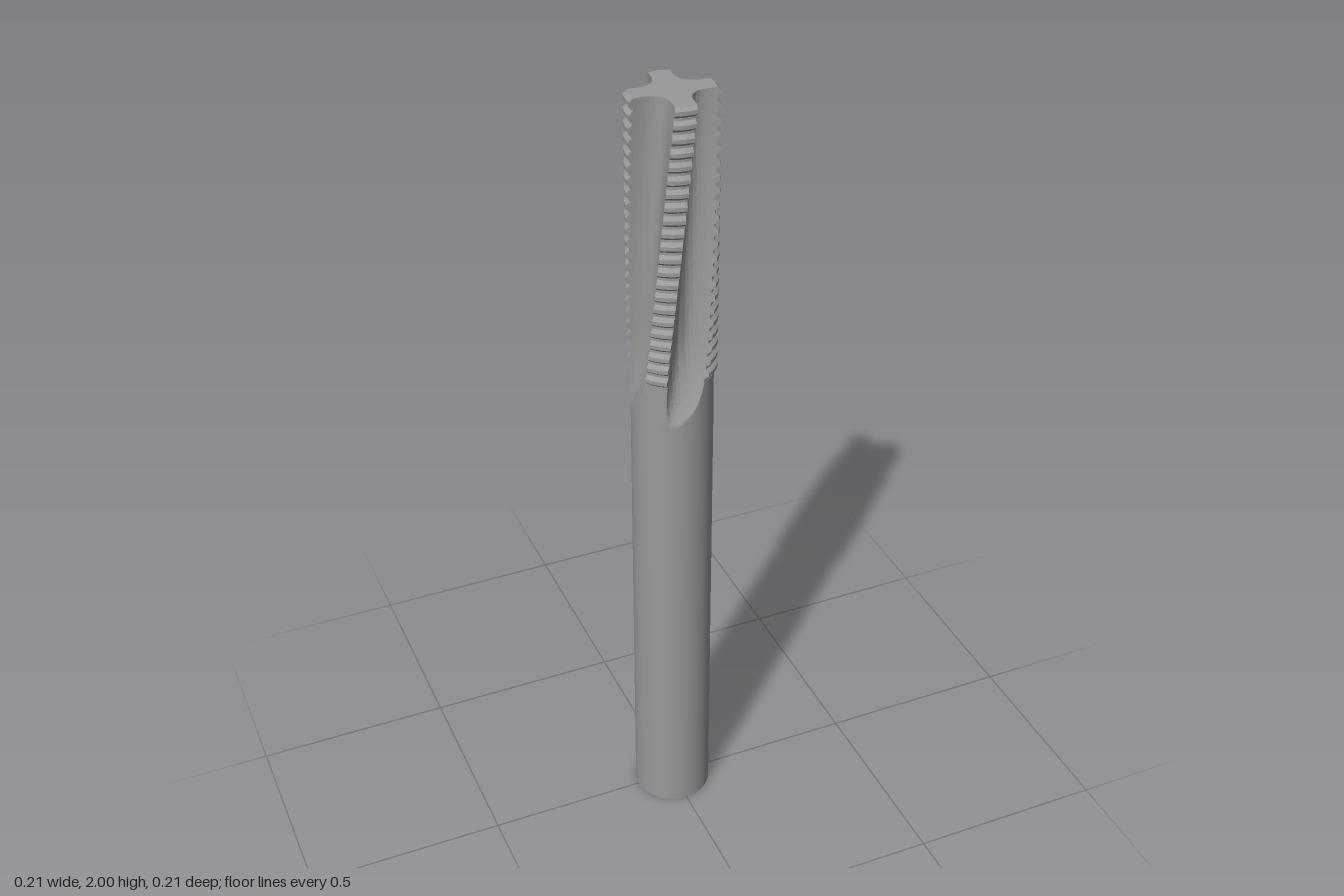
import * as THREE from 'three';
import { toCreasedNormals } from 'three/addons/utils/BufferGeometryUtils.js';

const SHANK = 0.098, ROOT = 0.097, CREST = 0.106;
const TOP = 2, THREAD_START = 1.3, NECK_START = 1.16;
const TEETH = 22, TWIST = 1; // radians of helix per unit of height
const DEG = Math.PI / 180;

// Cross-section of one flute, from the back of one land to the cutting face of the next
const fluteCurve = new THREE.CatmullRomCurve3([
  [0.1, 0.034], [0.092, 0.0335], [0.076, 0.0315], [0.06, 0.031], [0.044, 0.0335],
  [0.028, 0.046], [0.02, 0.063], [0.017, 0.083], [0.0165, 0.097], [0.016, 0.105],
].map(([x, z]) => new THREE.Vector3(x, 0, z)));

// Columns around the tool: angle and flute radius (land columns have no flute)
function makeColumns() {
  const quarter = fluteCurve.getPoints(54).map((p) => ({
    angle: Math.atan2(p.z, p.x), flute: Math.hypot(p.x, p.z),
  }));
  const start = quarter[0].angle + Math.PI / 2;
  const end = quarter[quarter.length - 1].angle;
  for (let i = 1; i < 7; i++) {
    quarter.push({ angle: end + ((start - end) * i) / 7, flute: Infinity });
  }
  const columns = [];
  for (let q = 0; q < 4; q++) {
    for (const c of quarter) columns.push({ ...c, local: c.angle, angle: c.angle + (q * Math.PI) / 2 });
  }
  return columns;
}

// Rows up the tool: height and outer radius of the plain neck, then ring-shaped teeth
function makeRows() {
  const rows = [];
  for (let i = 0; i <= 48; i++) {
    rows.push([NECK_START + ((THREAD_START - NECK_START) * i) / 48, SHANK]);
  }
  const pitch = (TOP - THREAD_START) / TEETH;
  for (let t = 0; t < TEETH; t++) {
    const y = THREAD_START + t * pitch;
    rows.push([y, ROOT], [y + pitch * 0.2, ROOT], [y + pitch * 0.45, CREST], [y + pitch * 0.75, CREST]);
  }
  rows.push([TOP, ROOT]);
  return rows;
}

// The flute floor rises to the surface in the neck, last of all beside the cutting face
function radiusAt(column, y, outer) {
  const lift = 0.05 * (Math.max(0, 1.42 - y) / 0.24) ** 2;
  const bias = 1 + 0.018 * (61 - column.local / DEG);
  return Math.min(outer, column.flute + lift * bias);
}

function ringPoint(column, y, outer) {
  const r = radiusAt(column, y, outer);
  const a = column.angle + (TOP - y) * TWIST;
  return [r * Math.cos(a), y, r * Math.sin(a)];
}

function buildGeometry(positions, index) {
  const g = new THREE.BufferGeometry();
  g.setAttribute('position', new THREE.Float32BufferAttribute(positions, 3));
  g.setIndex(index);
  return g;
}

function cutterGeometry(columns) {
  const rows = makeRows(), n = columns.length;
  const positions = [], index = [];
  for (const [y, outer] of rows) {
    for (const c of columns) positions.push(...ringPoint(c, y, outer));
  }
  for (let j = 0; j < rows.length - 1; j++) {
    for (let i = 0; i < n; i++) {
      const a = j * n + i, b = j * n + ((i + 1) % n);
      index.push(a, a + n, b, b, a + n, b + n);
    }
  }
  return toCreasedNormals(buildGeometry(positions, index), 0.35);
}

function endFaceGeometry(columns) {
  const n = columns.length, positions = [0, TOP, 0], index = [];
  columns.forEach((c, i) => {
    positions.push(...ringPoint(c, TOP, ROOT));
    index.push(0, 1 + ((i + 1) % n), 1 + i);
  });
  const g = buildGeometry(positions, index);
  g.computeVertexNormals();
  return g;
}

export function createModel() {
  const group = new THREE.Group();
  group.name = 'threadMill';
  const material = new THREE.MeshStandardMaterial({ color: 0x999999 });
  const add = (name, geometry) => {
    const mesh = new THREE.Mesh(geometry, material);
    mesh.name = name;
    group.add(mesh);
    return mesh;
  };

  // Plain round shank
  add('shank', new THREE.CylinderGeometry(SHANK, SHANK, NECK_START, 96)).position.y = NECK_START / 2;

  // Fluted cutter with four toothed lands, closed by a cross-shaped end
  const columns = makeColumns();
  add('flutedCutter', cutterGeometry(columns));
  add('endFace', endFaceGeometry(columns));
  return group;
}
